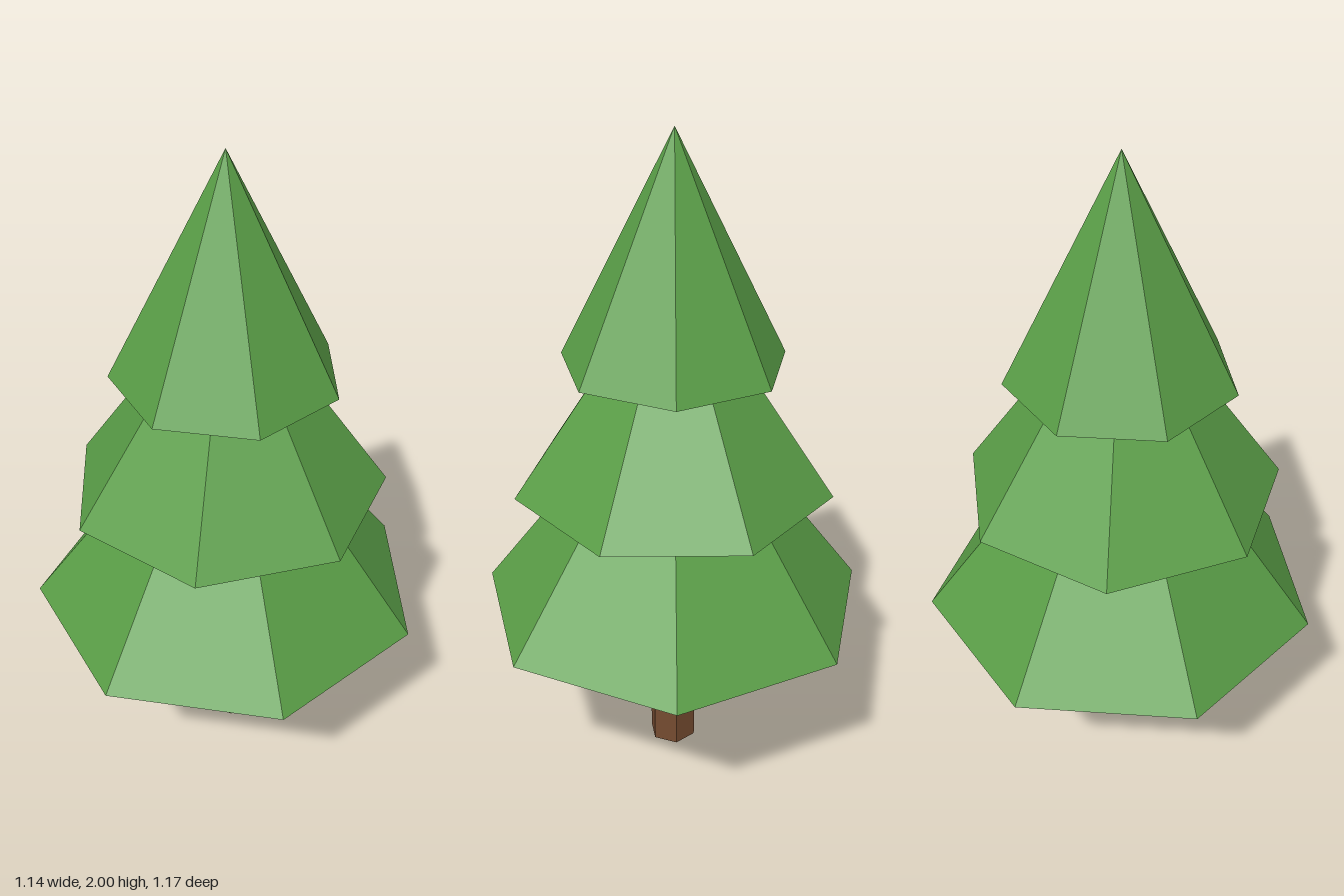
import * as THREE from 'three';

const AXIS_X = -0.03; // the trunk axis sits slightly off the centre

export function createModel() {
  const tree = new THREE.Group();
  tree.name = 'pineTree';

  const foliage = new THREE.MeshStandardMaterial({ color: 0x5a9e47 });
  foliage.name = 'leaf green';
  foliage.flatShading = true;
  const bark = new THREE.MeshStandardMaterial({ color: 0x744b30 });
  bark.name = 'bark brown';
  bark.flatShading = true;

  // Faceted solid standing between two heights, first corner at the given angle
  function addPart(name, material, topRadius, radius, bottom, top, sides, start) {
    const geometry = new THREE.CylinderGeometry(
      topRadius, radius, top - bottom, sides, 1, false, start, Math.PI * 2);
    const mesh = new THREE.Mesh(geometry, material);
    mesh.name = name;
    mesh.position.set(AXIS_X, (bottom + top) / 2, 0);
    tree.add(mesh);
  }

  // Six-sided trunk
  addPart('trunk', bark, 0.075, 0.075, 0, 0.54, 6, Math.PI / 2);

  // Three seven-sided cones; the middle one is turned half way round
  addPart('lowerBranches', foliage, 0, 0.6, 0.535, 1.335, 7, Math.PI / 2);
  addPart('middleBranches', foliage, 0, 0.48, 0.943, 1.64, 7, -Math.PI / 2);
  addPart('upperBranches', foliage, 0, 0.336, 1.33, 2, 7, Math.PI / 2);

  return tree;
}
